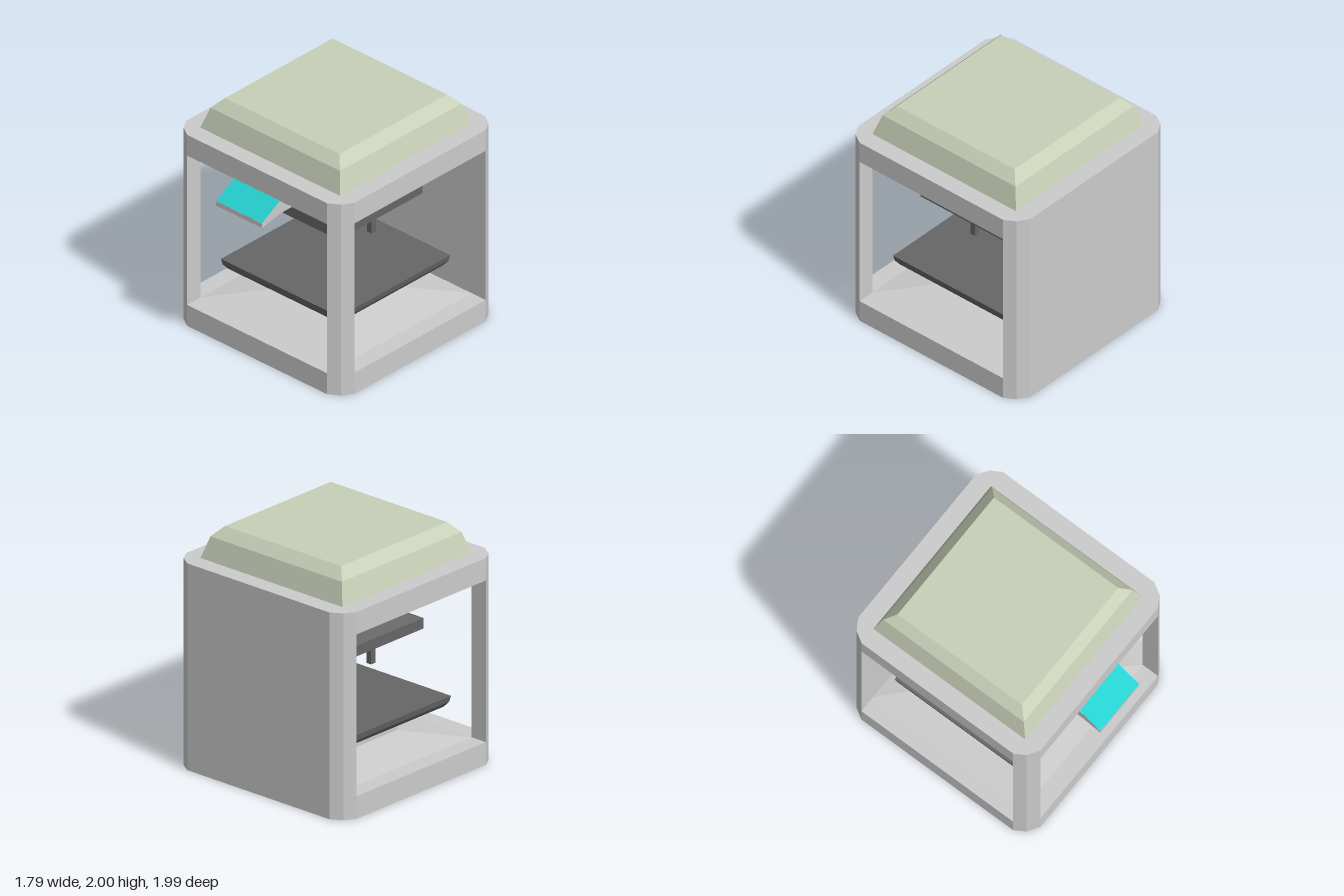
import * as THREE from 'three';

const CZ = -0.104; // centre of the housing in z
const material = (color) => new THREE.MeshStandardMaterial({ color, flatShading: true });

export function createModel() {
  const model = new THREE.Group();
  const grey = material(0xcccccc);
  const dark = material(0x666666);
  const olive = material(0xc8d0b8);
  const teal = material(0x26d0d0);

  function add(name, geometry, mat, x = 0, y = 0, z = 0, parent = model) {
    const mesh = new THREE.Mesh(geometry, mat);
    mesh.name = name;
    mesh.position.set(x, y, z);
    parent.add(mesh);
    return mesh;
  }

  // Vertical prism from a plan outline of [x, z] points
  function prism(plan, y0, y1) {
    const shape = new THREE.Shape(plan.map(([x, z]) => new THREE.Vector2(x, -z)));
    const g = new THREE.ExtrudeGeometry(shape, { depth: y1 - y0, bevelEnabled: false });
    return g.rotateX(-Math.PI / 2).translate(0, y0, 0);
  }

  // Stacked frustums from [half width or radius, y] rings, bottom to top, closed at both ends
  function stack(rings, sides) {
    const k = sides === 4 ? Math.SQRT2 : 1;
    const pts = rings.map(([r, y]) => new THREE.Vector2(r * k, y));
    pts.unshift(new THREE.Vector2(0, rings[0][1]));
    pts.push(new THREE.Vector2(0, rings[rings.length - 1][1]));
    return new THREE.LatheGeometry(pts, sides, sides === 4 ? Math.PI / 4 : 0);
  }

  // Housing: chamfered base and top slabs, back wall, two front posts
  const corner = [[0.745, 0.895], [0.84, 0.835], [0.895, 0.745]];
  const back = corner.map(([x, z]) => [x, -z]).reverse();
  const mirror = (pts) => pts.map(([x, z]) => [-x, z]).reverse();
  const outline = [...corner, ...back, ...mirror(back), ...mirror(corner)];
  const post = [...corner, [0.745, 0.745]];
  const housing = new THREE.Group();
  housing.name = 'housing';
  housing.position.z = CZ;
  model.add(housing);
  add('base', prism(outline, 0, 0.19), grey, 0, 0, 0, housing);
  add('topFrame', prism(outline, 1.547, 1.735), grey, 0, 0, 0, housing);
  add('backWall', prism([...back, ...mirror(back)], 0.19, 1.547), grey, 0, 0, 0, housing);
  add('leftPost', prism(post, 0.19, 1.547), grey, 0, 0, 0, housing);
  add('rightPost', prism(mirror(post), 0.19, 1.547), grey, 0, 0, 0, housing);

  // Lid
  add('lid', stack([[0.745, 1.735], [0.69, 1.915], [0.61, 2]], 4), olive, 0, 0, CZ);

  // Sloped floor with pedestal, and the plate on it
  add('pedestal', stack([[0.745, 0.19], [0.335, 0.262], [0.335, 0.45]], 4), grey, 0, 0, CZ);
  add('plate', stack([[0.59, 0.45], [0.62, 0.49], [0.63, 0.54]], 4), dark, 0, 0, -0.1);

  // Hanging head: octagonal mount over a square tool block
  const head = new THREE.Group();
  head.name = 'head';
  head.position.z = -0.1;
  model.add(head);
  add('mount', stack([[0.23, 1.285], [0.285, 1.345], [0.51, 1.395], [0.51, 1.547]], 8), dark, 0, 0, 0, head);
  add('toolBlock', stack([[0.478, 1.108], [0.478, 1.198], [0.225, 1.285]], 4), dark, 0, 0, 0, head);

  // Ring of six nozzles
  const nozzle = new THREE.BoxGeometry(0.05, 0.175, 0.05);
  for (const [x, z] of [[-0.362, 0], [-0.145, 0.23], [0.13, 0.23], [0.383, 0], [0.13, -0.23], [-0.145, -0.23]]) {
    add('nozzle', nozzle, dark, x, 1.0215, z, head);
  }

  // Control panel: profile in z, y swept across the width
  const profile = [[0.645, 1.547], [0.79, 1.547], [0.993, 1.432], [0.993, 1.39], [0.79, 1.433], [0.645, 1.433]];
  const panel = new THREE.ExtrudeGeometry(
    new THREE.Shape(profile.map(([z, y]) => new THREE.Vector2(-z, y))),
    { depth: 0.49, bevelEnabled: false });
  add('controlPanel', panel.rotateY(Math.PI / 2), grey, -0.245);

  // Coloured screen lying on the panel slope
  const screen = new THREE.PlaneGeometry(0.49, Math.hypot(0.203, 0.115));
  screen.rotateX(-Math.PI / 2 + Math.atan2(0.115, 0.203));
  add('screen', screen, teal, 0, 1.4915, 0.8925);

  return model;
}
